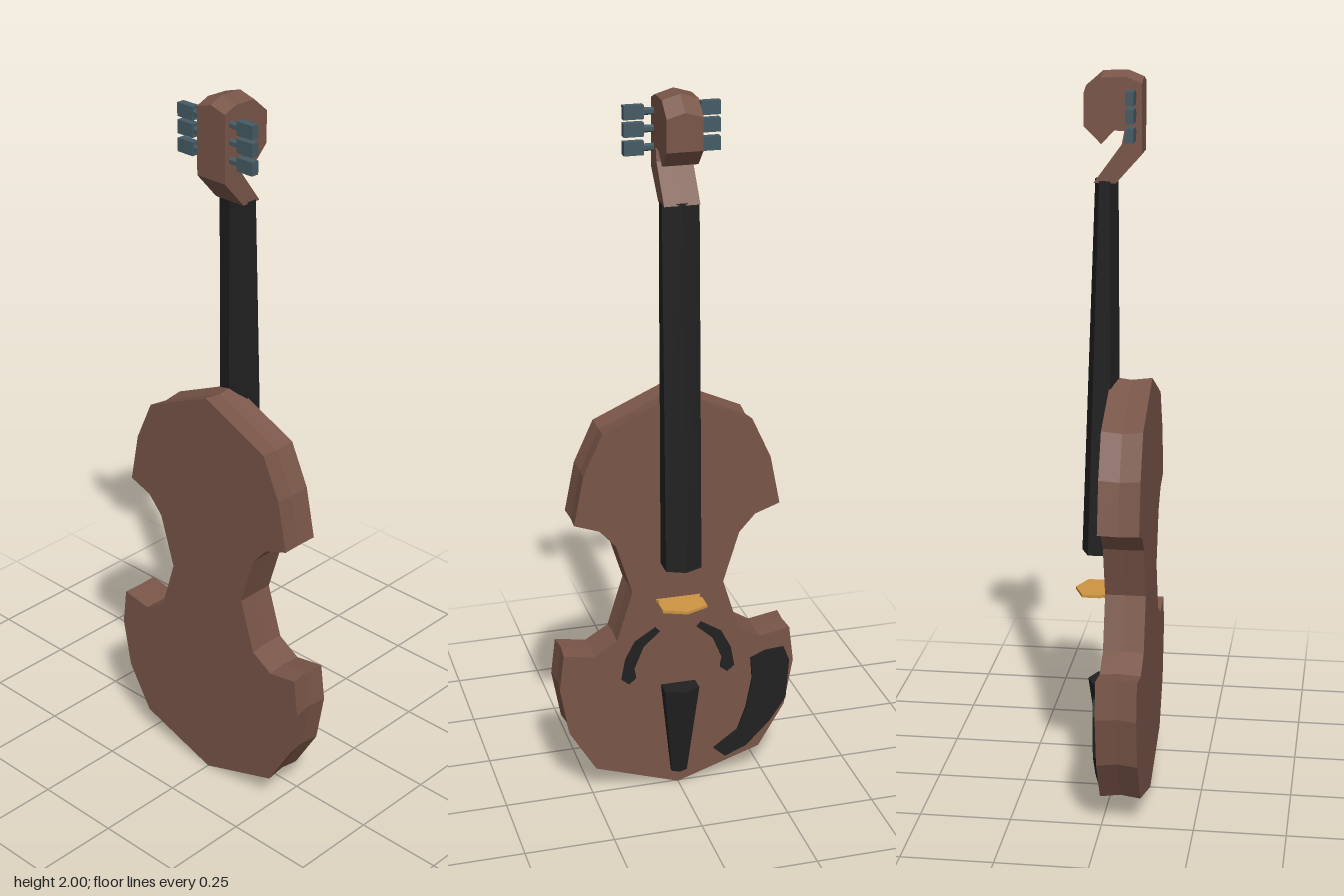
import * as THREE from 'three';

const mat = (color) => new THREE.MeshStandardMaterial({ color, flatShading: true });
const wood = mat(0x795548), ebony = mat(0x212121), amber = mat(0xcd9542), steel = mat(0x455a64);

function add(group, name, geometry, material) {
  const mesh = new THREE.Mesh(geometry, material);
  mesh.name = name;
  group.add(mesh);
  return mesh;
}

const toShape = (pts) => new THREE.Shape(pts.map(([a, b]) => new THREE.Vector2(a, b)));
const extrude = (pts, depth, steps = 1) =>
  new THREE.ExtrudeGeometry(toShape(pts), { depth, steps, bevelEnabled: false });

// Plate drawn as [z, y] and thickened along x from x0 to x1
function plate(pts, x0, x1, steps) {
  return extrude(pts.map(([z, y]) => [-z, y]), x1 - x0, steps).rotateY(Math.PI / 2).translate(x0, 0, 0);
}

// Move each vertex by a rule, then refresh the normals
function reshape(geometry, rule) {
  const p = geometry.attributes.position, v = new THREE.Vector3();
  for (let i = 0; i < p.count; i++) {
    rule(v.fromBufferAttribute(p, i));
    p.setXYZ(i, v.x, v.y, v.z);
  }
  geometry.computeVertexNormals();
  return geometry;
}

// Closed convex loft between a lower and an upper ring of [x, y, z]
function loft(lower, upper) {
  const out = [], n = lower.length;
  const tri = (a, b, c) => out.push(...a, ...b, ...c);
  for (let i = 0; i < n; i++) {
    const j = (i + 1) % n;
    tri(lower[i], lower[j], upper[j]);
    tri(lower[i], upper[j], upper[i]);
    if (i > 0 && i < n - 1) {
      tri(upper[0], upper[i], upper[j]);
      tri(lower[0], lower[j], lower[i]);
    }
  }
  const g = new THREE.BufferGeometry();
  g.setAttribute('position', new THREE.Float32BufferAttribute(out, 3));
  g.computeVertexNormals();
  return g;
}

// Cross-section with a ridge along its front and its back
const ridged = (y, back, side, shoulder, front, w) => [
  [front, y, 0], [shoulder, y, -w], [side, y, -w], [back, y, 0], [side, y, w], [shoulder, y, w],
];

export function createModel() {
  const violin = new THREE.Group();
  violin.name = 'violin';

  // Body: mirrored outline with slightly hollow ribs
  const half = [
    [0.24, 0.08], [0.315, 0.205], [0.34, 0.345], [0.327, 0.45], [0.24, 0.435], [0.175, 0.475],
    [0.13, 0.62], [0.175, 0.765], [0.22, 0.815], [0.29, 0.84], [0.262, 0.98], [0.208, 1.097],
  ];
  const outline = [[0, 0], ...half, [0, 1.19], ...half.map(([z, y]) => [-z, y]).reverse()];
  const body = reshape(plate(outline, -0.105, 0.005, 2), (v) => {
    if (Math.abs(v.x + 0.05) < 0.01) {
      v.z *= 0.986;
      v.y = 0.6 + (v.y - 0.6) * 0.988;
    }
  });
  add(violin, 'body', body, wood);

  // Neck with fingerboard, and tailpiece
  add(violin, 'neck', loft(
    ridged(0.7, -0.02, 0, 0.063, 0.085, 0.05),
    ridged(1.72, -0.014, 0.002, 0.03, 0.047, 0.05)), ebony);
  add(violin, 'tailpiece', loft(
    ridged(0.045, -0.005, 0, 0.02, 0.03, 0.022),
    ridged(0.322, -0.005, 0, 0.048, 0.07, 0.05)), ebony);

  // Head curling forward, peaked along its crown
  const scroll = [
    [0.045, 1.715], [-0.013, 1.715], [-0.08, 1.79], [-0.08, 1.97], [-0.04, 1.986], [0.025, 1.984],
    [0.07, 1.945], [0.07, 1.86], [0.025, 1.815], [-0.008, 1.85], [-0.035, 1.85], [-0.028, 1.815],
  ];
  const head = reshape(extrude(scroll, 0.096, 2).translate(0, 0, -0.048), (v) => {
    if (Math.abs(v.z) < 0.01 && v.y > 1.9) v.y += 0.014;
  });
  add(violin, 'head', head, wood);

  // Tuning pegs on both sides
  for (const side of [-1, 1]) {
    for (const y of [1.94, 1.895, 1.847]) {
      const peg = new THREE.Group();
      peg.name = 'tuningPeg';
      peg.position.set(-0.057, y, side * 0.045);
      const shaft = new THREE.CylinderGeometry(0.01, 0.01, 0.036, 6).rotateX(Math.PI / 2);
      add(peg, 'pegShaft', shaft, steel).position.z = side * 0.015;
      add(peg, 'pegGrip', new THREE.BoxGeometry(0.022, 0.036, 0.053), steel).position.z = side * 0.057;
      violin.add(peg);
    }
  }

  // Bridge: thin plate standing out from the body
  const edge = [[0, 0.063], [0.008, 0.063], [0.02, 0.056], [0.029, 0.063], [0.077, 0.063]];
  const bridge = [...edge, [0.103, 0], ...edge.map(([x, z]) => [x, -z]).reverse()];
  add(violin, 'bridge', extrude(bridge, 0.008).rotateX(Math.PI / 2).translate(0, 0.591, 0), amber);

  // Curved sound holes, mirrored
  const hole = [
    [0.066, 0.505], [0.053, 0.492], [0.1, 0.45], [0.127, 0.385], [0.122, 0.355],
    [0.143, 0.338], [0.164, 0.355], [0.153, 0.415], [0.125, 0.468],
  ];
  for (const side of [-1, 1]) {
    add(violin, 'soundHole', plate(hole.map(([z, y]) => [side * z, y]), 0, 0.009), ebony);
  }

  // Chin rest
  const rest = [
    [-0.212, 0.37], [-0.255, 0.388], [-0.31, 0.392], [-0.326, 0.35], [-0.318, 0.23], [-0.27, 0.16],
    [-0.2, 0.09], [-0.138, 0.065], [-0.105, 0.095], [-0.175, 0.145], [-0.2, 0.215], [-0.217, 0.305],
  ];
  add(violin, 'chinRest', plate(rest, 0, 0.013), ebony);

  return violin;
}
